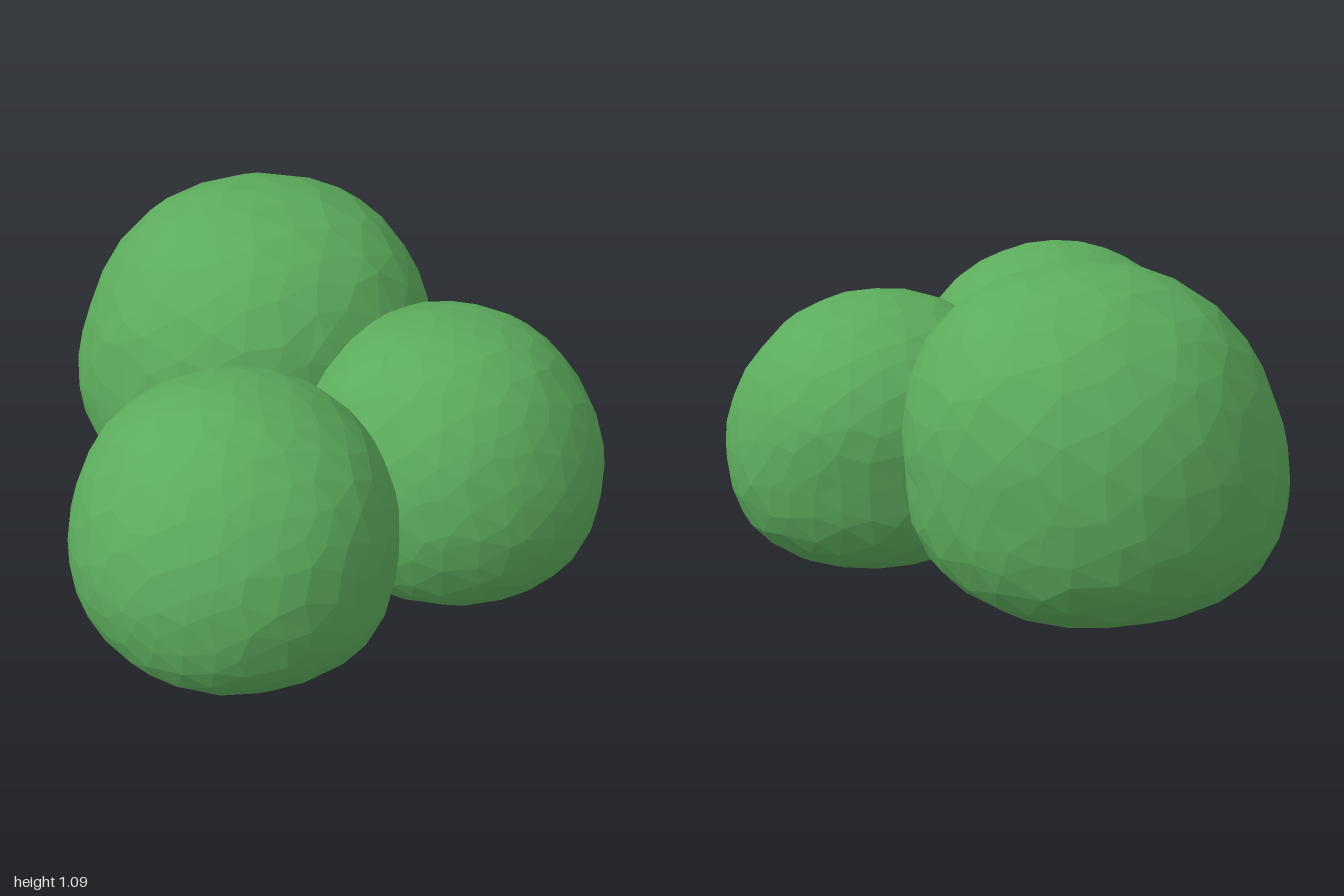
import * as THREE from 'three';

// Smooth, repeatable wobble that keeps shared corners together
const wobble = (v, seed) =>
  Math.sin(v.x * 5.1 + seed) * Math.sin(v.y * 4.3 + seed * 2.1) * Math.sin(v.z * 4.7 + seed * 3.7);
const jitter = (v, k) => {
  const s = Math.sin(Math.round(v.x * 500) * 12.99 + Math.round(v.y * 500) * 78.23 + Math.round(v.z * 500) * 37.72 + k) * 437.58;
  return s - Math.floor(s) - 0.5;
};

// Rounded clump: domed above its widest level, squarer and flatter below, dome leaning by lean
function clumpGeometry({ radius, bottom, waist, top, domePower, lean, seed }) {
  const geometry = new THREE.IcosahedronGeometry(1, 5);
  const position = geometry.attributes.position;
  const v = new THREE.Vector3();
  for (let i = 0; i < position.count; i++) {
    v.fromBufferAttribute(position, i);
    const [a, b, c] = [1, 2, 3].map((k) => jitter(v, seed + k) * 0.1);
    v.set(v.x + a, v.y + b, v.z + c).normalize();
    const power = v.y > 0 ? domePower : 2.7;
    const around = Math.hypot(v.x, v.z);
    const scale = Math.pow(Math.pow(around, power) + Math.pow(Math.abs(v.y), power), -1 / power);
    const bump = 1 + 0.012 * wobble(v, seed);
    const height = v.y * scale * bump;
    const shift = Math.max(height, 0) * around * 2;
    position.setXYZ(
      i,
      v.x * scale * bump * radius[0] + lean[0] * shift,
      waist + height * (height > 0 ? top - waist : waist - bottom),
      v.z * scale * bump * radius[1] + lean[1] * shift
    );
  }
  geometry.computeVertexNormals();
  return geometry;
}

export function createModel() {
  const group = new THREE.Group();
  group.name = 'bush';
  const material = new THREE.MeshStandardMaterial({ color: 0x5cab5c, flatShading: true });

  const clumps = [
    { name: 'backClump', x: 0.07, z: -0.4, radius: [0.6, 0.605], bottom: 0.02, waist: 0.46, top: 1.09, domePower: 2.25, lean: [0.025, 0.035], seed: 1 },
    { name: 'frontRightClump', x: -0.41, z: 0.475, radius: [0.505, 0.53], bottom: 0.02, waist: 0.42, top: 0.91, domePower: 2.1, lean: [0.02, -0.015], seed: 2 },
    { name: 'frontLeftClump', x: 0.415, z: 0.385, radius: [0.495, 0.49], bottom: 0, waist: 0.41, top: 0.89, domePower: 2.15, lean: [-0.01, -0.04], seed: 3 },
  ];
  for (const clump of clumps) {
    const mesh = new THREE.Mesh(clumpGeometry(clump), material);
    mesh.name = clump.name;
    mesh.position.set(clump.x, 0, clump.z);
    group.add(mesh);
  }
  return group;
}
